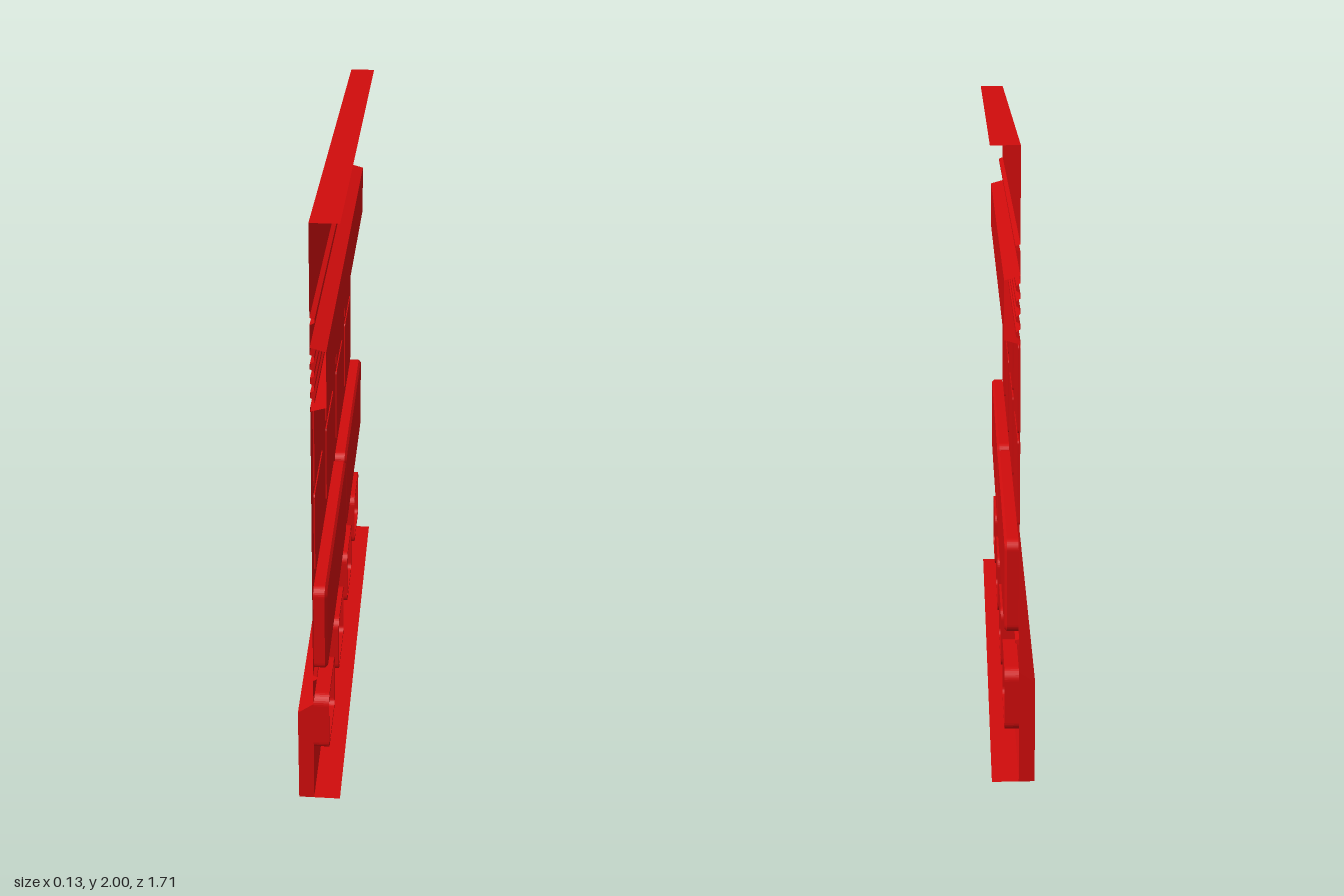
import * as THREE from 'three';

const HALF = 0.853;   // half length of the wall along z
const SHEET = -0.02;  // x of the main sheet
const BACK = -0.07;   // x of the recessed lower skin

const red = new THREE.MeshStandardMaterial({ color: 0xd00c0c, side: THREE.DoubleSide });

function add(parent, name, geometry, x = 0, y = 0, z = 0) {
  const mesh = new THREE.Mesh(geometry, red);
  mesh.name = name;
  mesh.position.set(x, y, z);
  parent.add(mesh);
  return mesh;
}

// Open folded sheet: a profile of [x, y] points swept along z with sharp folds
function folded(profile, half = HALF) {
  const pos = [];
  for (let i = 0; i < profile.length - 1; i++) {
    const [ax, ay] = profile[i], [bx, by] = profile[i + 1];
    pos.push(ax, ay, half, ax, ay, -half, bx, by, -half);
    pos.push(ax, ay, half, bx, by, -half, bx, by, half);
  }
  const g = new THREE.BufferGeometry();
  g.setAttribute('position', new THREE.Float32BufferAttribute(pos, 3));
  g.computeVertexNormals();
  return g;
}

// Rounded rectangle, centred on u, v
function roundRect(w, h, r, u = 0, v = 0, Type = THREE.Shape) {
  const s = new Type(), a = w / 2, b = h / 2;
  s.moveTo(u - a + r, v - b);
  s.lineTo(u + a - r, v - b);
  s.absarc(u + a - r, v - b + r, r, -Math.PI / 2, 0);
  s.absarc(u + a - r, v + b - r, r, 0, Math.PI / 2);
  s.absarc(u - a + r, v + b - r, r, Math.PI / 2, Math.PI);
  s.absarc(u - a + r, v - b + r, r, Math.PI, Math.PI * 1.5);
  return s;
}

const polygon = (pts, Type = THREE.Shape) => new Type(pts.map(p => new THREE.Vector2(...p)));

// Turn a drawing in the xy plane to face +x
const faceX = g => g.rotateY(Math.PI / 2);

// Plate with a bevelled outer face, growing from x = 0 to x = depth
function plate(shape, depth, bevel = 0) {
  return faceX(new THREE.ExtrudeGeometry(shape, {
    depth: depth - bevel, curveSegments: 4, bevelEnabled: bevel > 0,
    bevelThickness: bevel, bevelSize: bevel, bevelOffset: -bevel, bevelSegments: 1,
  }));
}

export function createModel() {
  const group = new THREE.Group();
  group.name = 'wallPanel';

  // Top flange, upper sheet with a small ridge, projecting band and middle sheet
  add(group, 'upperSheet', folded([
    [0.065, 2], [SHEET, 2], [SHEET, 1.725], [-0.006, 1.72], [-0.006, 1.71], [SHEET, 1.703],
    [SHEET, 1.635], [0.026, 1.622], [0.026, 1.448], [SHEET, 1.435], [SHEET, 0.84],
  ]));

  // Corrugated lining behind the band
  const ribs = [[SHEET, 1.635]];
  for (let i = 0; i < 4; i++) {
    const y = 1.615 - i * 0.045;
    ribs.push([SHEET, y], [-0.008, y - 0.008], [-0.008, y - 0.022], [SHEET, y - 0.03]);
  }
  ribs.push([SHEET, 1.435]);
  add(group, 'corrugatedLining', folded(ribs, 0.856));

  // Small square panels in two rows of four
  for (const z of [-0.64, -0.215, 0.215, 0.64]) {
    for (const y of [0.983, 1.277]) {
      add(group, 'squarePanel', plate(roundRect(0.29, 0.272, 0.012), 0.008), -0.024, y, z);
    }
  }

  // Cross-braced backing behind the two wide panels
  const bracing = polygon([[-HALF, 0.5], [HALF, 0.5], [HALF, 0.84], [-HALF, 0.84]]);
  for (const u of [-0.428, 0.428]) {
    const a = 0.38, b = 0.125, v = 0.665, g = 0.07, k = 0.024;
    for (const s of [-1, 1]) {
      bracing.holes.push(
        polygon([[u - a + g, v + s * b], [u + a - g, v + s * b], [u, v + s * k]], THREE.Path),
        polygon([[u + s * a, v - b + k], [u + s * a, v + b - k], [u + s * g, v]], THREE.Path));
    }
  }
  add(group, 'bracedBacking', faceX(new THREE.ShapeGeometry(bracing)), SHEET);

  // Two wide raised panels: side wall and bevelled face, hollow behind
  for (const z of [-0.428, 0.428]) {
    const wall = roundRect(0.834, 0.306, 0.03);
    wall.holes.push(roundRect(0.81, 0.282, 0.02, 0, 0, THREE.Path));
    add(group, 'widePanelWall', plate(wall, 0.034), -0.018, 0.666, z);
    add(group, 'widePanelFace', plate(roundRect(0.834, 0.306, 0.03), 0.012, 0.008), 0.013, 0.666, z);
  }

  // Lower ridge, overhang into the recessed base
  add(group, 'lowerSheet', folded([
    [SHEET, 0.5], [-0.008, 0.496], [-0.008, 0.486], [SHEET, 0.48], [SHEET, 0.387], [BACK, 0.35],
  ]));

  // Base skin with an opening for each box
  const boxZ = [-0.638, -0.213, 0.213, 0.638];
  const skin = polygon([[-HALF, 0], [HALF, 0], [HALF, 0.35], [-HALF, 0.35]]);
  for (const z of boxZ) skin.holes.push(roundRect(0.2, 0.17, 0.001, -z, 0.23, THREE.Path));
  add(group, 'baseSkin', faceX(new THREE.ShapeGeometry(skin)), BACK);

  // Sloping kick plate and bottom flange
  add(group, 'kickPlate', folded([[BACK, 0.105], [SHEET, 0.002]], 0.848));
  add(group, 'bottomFlange', folded([[BACK, 0], [0.065, 0]]));

  // End caps of the base
  for (const z of [-HALF, HALF]) {
    const cap = polygon([[BACK, 0], [SHEET, 0], [SHEET, 0.387], [BACK, 0.35]]);
    add(group, 'endCap', new THREE.ShapeGeometry(cap), 0, 0, z);
  }

  // Boxes: rounded rim with a recessed floor, funnel-shaped from behind
  for (const z of boxZ) {
    const box = new THREE.Group();
    box.name = 'recessedBox';
    box.position.set(0, 0.23, z);
    const rim = roundRect(0.248, 0.218, 0.035);
    rim.holes.push(roundRect(0.222, 0.192, 0.022, 0, 0, THREE.Path));
    add(box, 'rim', plate(rim, 0.092), BACK);
    add(box, 'floor', plate(roundRect(0.226, 0.196, 0.022), 0.005), -0.03);
    const funnel = new THREE.CylinderGeometry(0.08 * Math.SQRT1_2, 0.2 * Math.SQRT1_2, 0.04, 4, 1, true)
      .toNonIndexed().rotateY(Math.PI / 4).rotateZ(-Math.PI / 2).scale(1, 0.85, 1);
    funnel.computeVertexNormals();
    add(box, 'funnel', funnel, -0.05);
    group.add(box);
  }
  return group;
}
